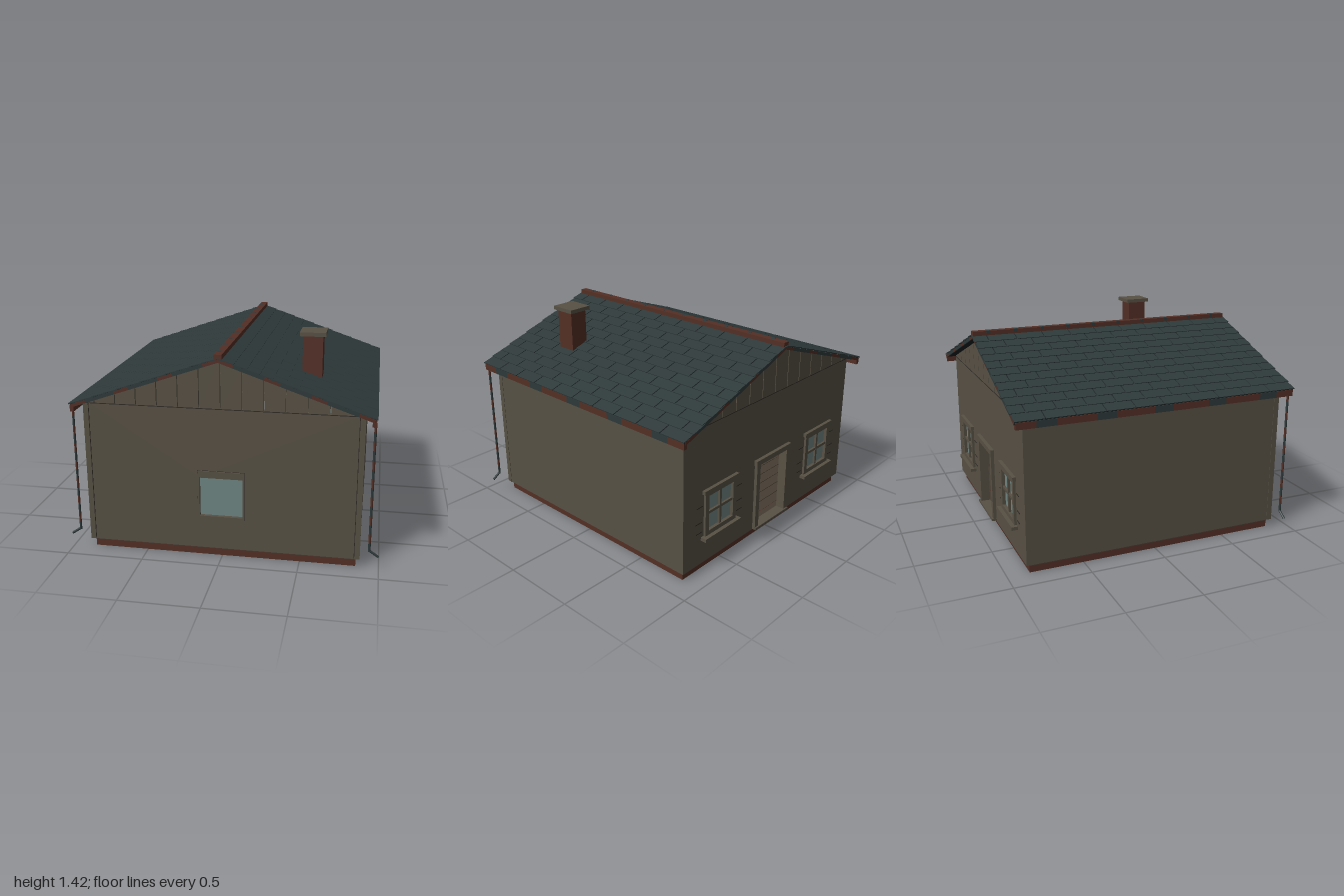
import * as THREE from 'three';
import { mergeGeometries } from 'three/addons/utils/BufferGeometryUtils.js';

const mat = (name, color) => {
  const m = new THREE.MeshStandardMaterial({ color });
  m.name = name;
  return m;
};

export function createModel() {
  const wood = mat('weathered wood', 0x575044);
  const floorWood = mat('floor wood', 0x463e34);
  const rust = mat('rust red', 0x532f25);
  const slate = mat('dark slate', 0x2e393a);
  const deckMat = mat('roof deck', 0x192123);
  const glass = mat('glass', 0x6f8582);
  const seam = mat('dark seam', 0x2f2923);

  const house = new THREE.Group();
  house.name = 'house';
  const add = (name, geo, material, parent = house) => {
    const m = new THREE.Mesh(geo, material);
    m.name = name;
    parent.add(m);
    return m;
  };
  // Box given by its limits on each axis
  const slab = (x0, x1, y0, y1, z0, z1) =>
    new THREE.BoxGeometry(x1 - x0, y1 - y0, z1 - z0)
      .translate((x0 + x1) / 2, (y0 + y1) / 2, (z0 + z1) / 2);
  const rect = (C, x0, x1, y0, y1) => {
    const s = new C();
    s.moveTo(x0, y0); s.lineTo(x1, y0); s.lineTo(x1, y1); s.lineTo(x0, y1); s.closePath();
    return s;
  };
  const extrude = (shape, depth) => new THREE.ExtrudeGeometry(shape, { depth, bevelEnabled: false });

  // Foundation ring and floor boards
  const base = rect(THREE.Shape, -0.855, 0.855, -0.855, 0.855);
  base.holes.push(rect(THREE.Path, -0.77, 0.77, -0.77, 0.77));
  add('foundation', extrude(base, 0.065).rotateX(-Math.PI / 2), rust);
  const boards = [];
  for (let i = 0; i < 22; i++) {
    const z = -0.86 + i * 0.0782;
    boards.push(slab(-0.86, 0.86, 0.045, 0.066, z, z + 0.074));
  }
  add('floorBoards', mergeGeometries(boards), floorWood);
  add('subfloor', slab(-0.84, 0.84, 0.05, 0.06, -0.84, 0.84), seam);

  // Walls with openings
  const front = rect(THREE.Shape, -0.845, 0.845, 0.06, 1);
  front.holes.push(rect(THREE.Path, -0.14, 0.14, 0.285, 0.545));
  add('frontWall', extrude(front, 0.035).translate(0, 0, 0.843), wood);
  const back = rect(THREE.Shape, -0.845, 0.845, 0.06, 1);
  for (const x of [-0.54, 0.54]) back.holes.push(rect(THREE.Path, x - 0.13, x + 0.13, 0.27, 0.54));
  back.holes.push(rect(THREE.Path, -0.155, 0.155, 0.066, 0.545));
  add('backWall', extrude(back, 0.035).translate(0, 0, -0.88), wood);
  for (const s of [-1, 1]) {
    add('sideWall', slab(-0.0175, 0.0175, 0.06, 1, -0.88, 0.88).translate(s * 0.8605, 0, 0), wood);
    add('cornerPost', slab(-0.0175, 0.0175, 0.06, 1, 0.845, 0.881).translate(s * 0.863, 0, 0), wood);
    add('cornerSeam', slab(-0.002, 0.002, 0.066, 1, 0.87, 0.8815).translate(s * 0.845, 0, 0), seam);
    add('gableSeam', slab(-0.88, 0.88, 0.996, 1.001, -0.002, 0.002).translate(0, 0, s * 0.8795), seam);
  }

  // Gable boards, parted by narrow gaps
  const roofY = (x) => 1.312 - 0.347 * Math.abs(x);
  const gable = [];
  for (let i = -7; i < 7; i++) {
    const a = Math.max(i * 0.134 + 0.003, -0.87), b = Math.min((i + 1) * 0.134 - 0.003, 0.87);
    const s = new THREE.Shape();
    s.moveTo(a, 1); s.lineTo(b, 1); s.lineTo(b, roofY(b)); s.lineTo(a, roofY(a)); s.closePath();
    for (const z of [-0.88, 0.86]) gable.push(extrude(s, 0.02).translate(0, 0, z));
  }
  add('gableBoards', mergeGeometries(gable), wood);
  add('ridgeBeam', slab(-0.015, 0.015, 1.26, 1.31, -0.86, 0.86), wood);
  for (const z of [-0.45, 0, 0.45]) add('tieBeam', slab(-0.85, 0.85, 0.95, 0.99, z - 0.02, z + 0.02), wood);

  // Roof slopes: deck, staggered shingles, rake edges and gutter
  const tilt = Math.atan(0.347);
  const widths = [];
  for (let row = 0; row < 12; row++) {
    const n = row % 2 ? 10 : 11;
    for (let i = 0; i < n; i++) {
      // Odd rows are shifted by half a shingle
      const c = (i - (n - 1) / 2) * 0.19;
      const z0 = Math.max(c - 0.0915, -0.952), z1 = Math.min(c + 0.0915, 0.952);
      widths.push(new THREE.BoxGeometry(0.098, 0.006, z1 - z0).rotateZ(0.05)
        .translate(0.05 + row * 0.082, 0.009, (z0 + z1) / 2));
    }
  }
  const shingles = mergeGeometries(widths);
  for (const s of [1, -1]) {
    const turn = new THREE.Group();
    turn.name = s > 0 ? 'leftRoof' : 'rightRoof';
    turn.rotation.y = s > 0 ? 0 : Math.PI;
    const slope = new THREE.Group();
    slope.name = 'slope';
    slope.position.y = 1.323;
    slope.rotation.z = -tilt;
    turn.add(slope);
    house.add(turn);
    add('roofDeck', slab(0, 0.993, -0.012, 0.006, -0.94, 0.94), deckMat, slope);
    add('shingles', shingles, slate, slope);
    for (const z of [-0.941, 0.941]) {
      for (let i = 0; i < 10; i++) {
        add('rakeEdge', slab(i * 0.099, (i + 1) * 0.099, -0.016, 0.004, z - 0.004, z + 0.004),
          i % 3 ? slate : rust, slope);
      }
    }
    for (let i = 0; i < 15; i++) {
      const z = -0.94 + i * 0.1253;
      add('gutter', slab(0.918, 0.943, 0.955, 0.998, z, z + 0.1253), i % 3 === 1 ? slate : rust, turn);
    }
  }
  add('ridgeCap', slab(-0.024, 0.024, 1.318, 1.355, -0.945, 0.945), rust);
  for (let i = 0; i < 10; i++) {
    const z = -0.84 + i * 0.187;
    add('ridgePatch', slab(-0.0245, 0.008, 1.335, 1.3558, z - 0.012, z + 0.012), slate);
  }

  // Downpipes at the front corners, in alternating worn sections
  const pipe = (a, b, material) => {
    const path = new THREE.LineCurve3(new THREE.Vector3(...a), new THREE.Vector3(...b));
    add('downpipe', new THREE.TubeGeometry(path, 1, 0.008, 8), material);
  };
  for (const s of [-1, 1]) {
    for (let i = 0; i < 14; i++) {
      pipe([s * 0.937, 0.135 + i * 0.06, 0.907], [s * 0.937, 0.195 + i * 0.06, 0.907], i % 2 ? rust : slate);
    }
    pipe([s * 0.937, 0.142, 0.907], [s * 0.995, 0.103, 0.907], slate);
  }

  // Chimney
  add('chimney', slab(0.462, 0.588, 1.1, 1.402, 0.4, 0.533), rust);
  add('chimneyCap', slab(0.443, 0.607, 1.4, 1.425, 0.376, 0.553), wood);

  // Front window
  const frame = rect(THREE.Shape, -0.15, 0.15, 0.27, 0.59);
  frame.holes.push(rect(THREE.Path, -0.138, 0.138, 0.285, 0.545));
  add('frontWindowFrame', extrude(frame, 0.03).translate(0, 0, 0.857), wood);
  add('frontWindowGlass', slab(-0.14, 0.14, 0.283, 0.547, 0.858, 0.864), glass);
  for (const [x0, x1, y0, y1] of [[-0.152, 0.152, 0.588, 0.592], [-0.152, 0.152, 0.268, 0.272],
    [-0.152, -0.148, 0.27, 0.59], [0.148, 0.152, 0.27, 0.59]]) {
    add('frontWindowSeam', slab(x0, x1, y0, y1, 0.872, 0.88), seam);
  }

  // Back windows with cross bars, head, sill and cracks beside them
  for (const x of [-0.54, 0.54]) {
    const w = new THREE.Group();
    w.name = 'backWindow';
    w.position.x = x;
    house.add(w);
    const f = rect(THREE.Shape, -0.15, 0.15, 0.25, 0.56);
    f.holes.push(rect(THREE.Path, -0.118, 0.118, 0.282, 0.528));
    add('frame', extrude(f, 0.03).translate(0, 0, -0.896), wood, w);
    add('glass', slab(-0.125, 0.125, 0.275, 0.535, -0.874, -0.868), glass, w);
    add('mullion', slab(-0.009, 0.009, 0.28, 0.53, -0.89, -0.866), wood, w);
    add('crossBar', slab(-0.12, 0.12, 0.396, 0.414, -0.889, -0.866), wood, w);
    add('head', slab(-0.165, 0.165, 0.55, 0.575, -0.903, -0.875), wood, w);
    add('sill', slab(-0.175, 0.175, 0.23, 0.252, -0.922, -0.875), wood, w);
    for (const s of [-1, 1]) {
      for (const [cx, y] of [[0.19, 0.47], [0.2, 0.36], [0.195, 0.29]]) {
        add('crack', slab(-0.03, 0.03, y - 0.003, y + 0.003, -0.8825, -0.878).translate(s * cx, 0, 0), seam, w);
      }
    }
  }

  // Open doorway with frame, threshold and loose boards inside
  for (const s of [-1, 1]) {
    add('doorPost', slab(-0.018, 0.018, 0.065, 0.56, -0.902, -0.84).translate(s * 0.165, 0, 0), wood);
  }
  add('doorHead', slab(-0.19, 0.19, 0.545, 0.58, -0.905, -0.84), wood);
  add('threshold', slab(-0.185, 0.185, 0.066, 0.082, -0.912, -0.84), wood);
  for (const [y, z, turn] of [[0.16, -0.5, 0.15], [0.3, -0.42, -0.1]]) {
    const b = add('looseBoard', new THREE.BoxGeometry(0.5, 0.02, 0.12), wood);
    b.position.set(0.05, y, z);
    b.rotation.y = turn;
  }
  for (const x of [-0.15, 0.25]) add('boardStand', slab(x - 0.015, x + 0.015, 0.066, 0.3, -0.48, -0.44), wood);

  return house;
}
